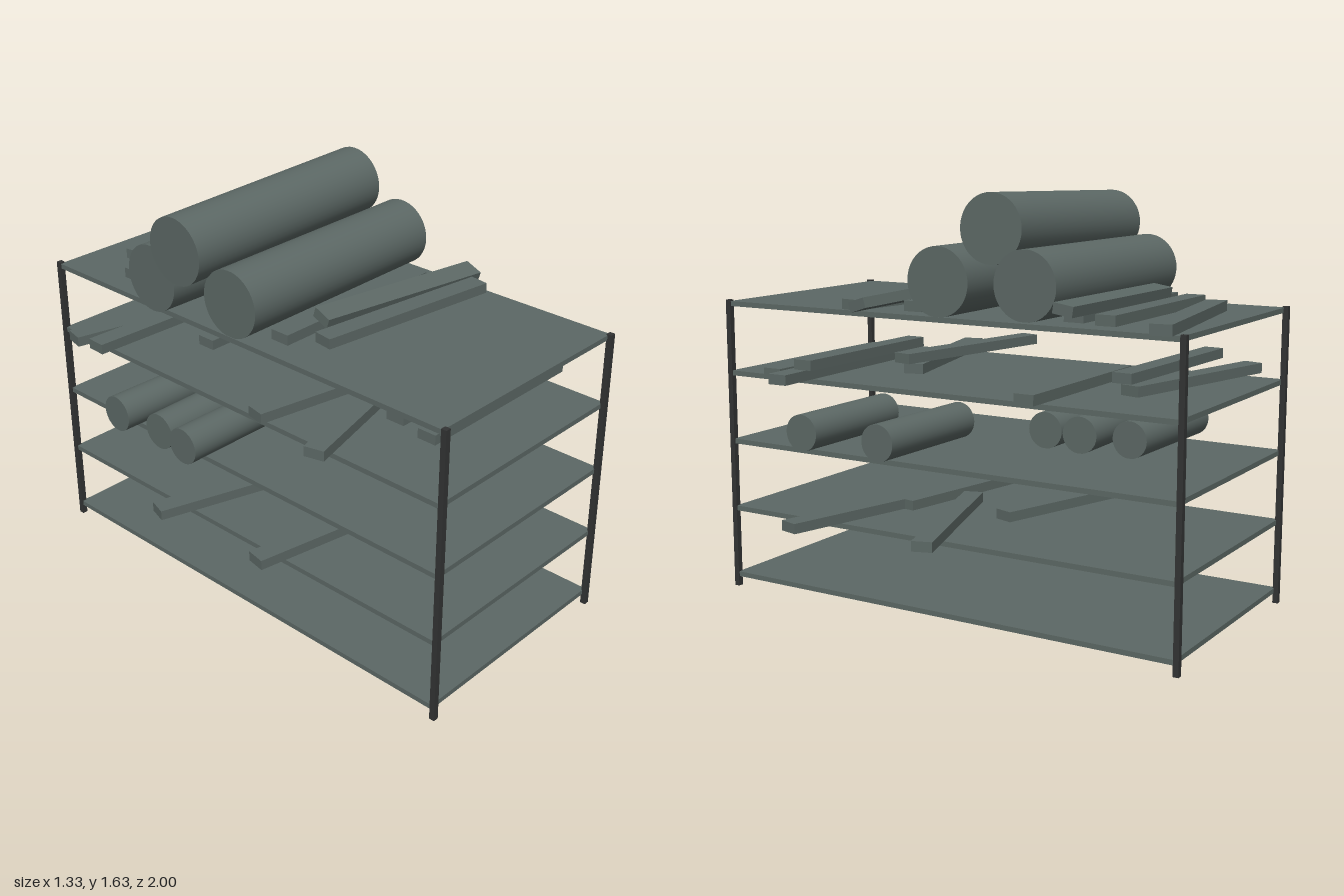
import * as THREE from 'three';

export function createModel() {
  const model = new THREE.Group();
  const slate = new THREE.MeshStandardMaterial({ color: 0x5c6865 });
  slate.name = 'greenish grey';
  const dark = new THREE.MeshStandardMaterial({ color: 0x333434 });
  dark.name = 'dark frame grey';

  const add = (name, geometry, material) => {
    const mesh = new THREE.Mesh(geometry, material);
    mesh.name = name;
    model.add(mesh);
    return mesh;
  };

  // Lay a part whose length runs along x between two end points, with an optional roll
  const layBetween = (mesh, a, b, roll = 0) => {
    const start = new THREE.Vector3(...a), end = new THREE.Vector3(...b);
    const xAxis = end.clone().sub(start).normalize();
    const zAxis = new THREE.Vector3().crossVectors(xAxis, new THREE.Vector3(0, 1, 0)).normalize();
    const yAxis = new THREE.Vector3().crossVectors(zAxis, xAxis);
    mesh.quaternion.setFromRotationMatrix(new THREE.Matrix4().makeBasis(xAxis, yAxis, zAxis));
    mesh.rotateX(roll);
    mesh.position.copy(start).add(end).multiplyScalar(0.5);
  };

  const log = (name, radius, a, b) => {
    const length = Math.hypot(b[0] - a[0], b[1] - a[1], b[2] - a[2]);
    const geometry = new THREE.CylinderGeometry(radius, radius, length, 40).rotateZ(-Math.PI / 2);
    layBetween(add(name, geometry, slate), a, b);
  };

  const plank = (a, b, roll) => {
    const length = Math.hypot(b[0] - a[0], b[1] - a[1], b[2] - a[2]);
    layBetween(add('plank', new THREE.BoxGeometry(length, 0.04, 0.08), slate), a, b, roll);
  };

  // Rack: four corner posts and five shelves
  const midX = -0.045;
  for (const sx of [-1, 1]) {
    for (const sz of [-1, 1]) {
      add('cornerPost', new THREE.BoxGeometry(0.022, 1.185, 0.022), dark)
        .position.set(midX + sx * 0.471, 0.5925, sz * 0.989);
    }
  }
  for (let i = 0; i < 5; i++) {
    add('shelf', new THREE.BoxGeometry(0.955, 0.02, 1.965), slate)
      .position.set(midX, 0.05 + i * 0.28, 0);
  }

  // Three large logs stacked on the top shelf
  log('largeLog', 0.13, [-0.52, 1.308, 0.0], [0.43, 1.308, -0.012]);
  log('largeLog', 0.13, [-0.557, 1.308, -0.378], [0.395, 1.308, -0.358]);
  log('largeLog', 0.13, [-0.6, 1.48, -0.19], [0.35, 1.502, -0.19]);

  // Small logs on the middle shelf: [left x, left z, right z]
  const smallLogs = [
    [-0.07, 0.595, 0.595], [-0.07, 0.22, 0.233], [-0.615, -0.185, -0.185],
    [-0.6, -0.335, -0.345], [-0.62, -0.563, -0.55],
  ];
  for (const [x, z0, z1] of smallLogs) {
    log('smallLog', 0.073, [x, 0.692, z0], [x + 0.55, 0.692, z1]);
  }

  // Flat planks: [height, left x, left z, right x, right z]
  const planks = [
    // second shelf
    [0.364, -0.09, 0.34, 0.65, 0.53],
    [0.362, -0.13, 0.19, 0.6, -0.05],
    [0.366, -0.655, -0.31, 0.08, -0.08],
    [0.364, -0.627, 0.21, 0.13, 0.35],
    // fourth shelf
    [0.925, -0.245, 0.695, 0.525, 0.695],
    [0.925, -0.14, 0.61, 0.63, 0.583],
    [0.965, -0.27, 0.57, 0.5, 0.565],
    [0.925, -0.6, 0.487, 0.145, 0.295],
    [0.965, -0.595, 0.195, 0.16, 0.34],
    [0.925, -0.265, -0.42, 0.505, -0.42],
    [0.965, -0.635, -0.645, 0.135, -0.615],
    [0.925, -0.6, -0.83, 0.15, -0.655],
    // top shelf
    [1.2, -0.43, -0.65, 0.34, -0.65],
    [1.2, -0.295, -0.795, 0.465, -0.92],
    [1.2, -0.46, -0.52, 0.31, -0.51],
    [1.2, -0.345, 0.29, 0.42, 0.395],
    [1.2, -0.43, 0.16, 0.34, 0.16],
  ];
  for (const [y, x0, z0, x1, z1] of planks) plank([x0, y, z0], [x1, y, z1]);

  // Two planks leaning on others
  plank([-0.278, 1.243, 0.22], [0.49, 1.21, 0.308], 0.3);
  plank([-0.33, 1.24, -0.553], [0.445, 1.24, -0.54], -0.15);

  return model;
}
